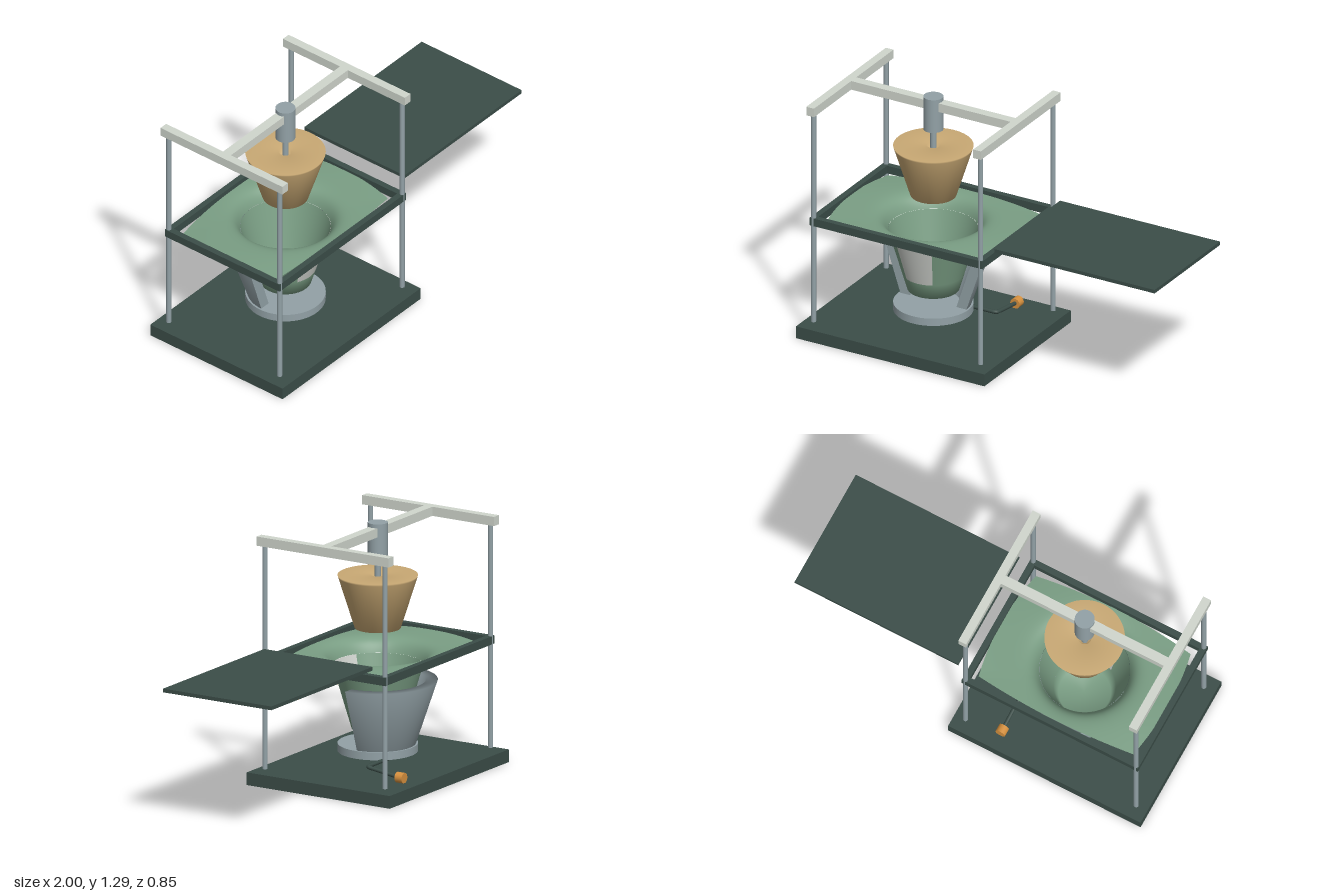
import * as THREE from 'three';

const mat = (name, color, side = THREE.FrontSide) => {
  const m = new THREE.MeshStandardMaterial({ color, side });
  m.name = name;
  return m;
};

export function createModel() {
  const darkGreen = mat('darkGreen', 0x3b4d48);
  const steel = mat('steel', 0x92a1a6, THREE.DoubleSide);
  const paleMetal = mat('paleMetal', 0xd0d6cd);
  const tan = mat('tan', 0xc9a974);
  const plastic = mat('greenPlastic', 0x7a9e84, THREE.DoubleSide);
  const pane = mat('palePane', 0xcdd0cb, THREE.DoubleSide);
  const orange = mat('orange', 0xd6903e);

  const model = new THREE.Group();
  const CX = -0.46; // axis of the press

  const add = (name, geo, material, x = 0, y = 0, z = 0) => {
    const m = new THREE.Mesh(geo, material);
    m.name = name;
    m.position.set(x, y, z);
    model.add(m);
    return m;
  };
  const box = (name, material, w, h, d, x, y, z) =>
    add(name, new THREE.BoxGeometry(w, h, d), material, x, y, z);
  const rod = (name, material, r, y0, y1, x, z, seg = 32) =>
    add(name, new THREE.CylinderGeometry(r, r, y1 - y0, seg), material, x, (y0 + y1) / 2, z);
  const lathe = (name, material, pts, start = 0, sweep = Math.PI * 2, seg = 64) =>
    add(name, new THREE.LatheGeometry(pts.map(p => new THREE.Vector2(...p)), seg, start, sweep), material, CX);

  // Base and four posts
  box('base', darkGreen, 1.083, 0.065, 0.846, CX, 0.0325, 0);
  for (const x of [-0.94, 0.02]) {
    for (const z of [-0.355, 0.355]) rod('post', steel, 0.013, 0.08, 1.225, x, z, 20);
    box('topRail', paleMetal, 0.044, 0.047, 0.78, x, 1.247, 0);
  }
  box('crossBeam', paleMetal, 0.916, 0.047, 0.05, CX, 1.247, 0);

  // Press cylinder, piston rod and tapered plug
  rod('pressCylinder', steel, 0.05, 1.11, 1.29, CX, 0);
  rod('pistonRod', steel, 0.016, 0.98, 1.11, CX, 0);
  lathe('plug', tan, [[0, 0.75], [0.115, 0.75], [0.197, 1.01], [0.2, 1.02],
    [0.034, 1.02], [0.034, 0.985], [0, 0.985]]);

  // Clamp frame around the sheet
  const rect = (s, w, h) => s.moveTo(-w, -h).lineTo(w, -h).lineTo(w, h).lineTo(-w, h).closePath();
  const frameShape = rect(new THREE.Shape(), 0.496, 0.367);
  frameShape.holes.push(rect(new THREE.Path(), 0.464, 0.336));
  const frameGeo = new THREE.ExtrudeGeometry(frameShape, { depth: 0.042, bevelEnabled: false });
  frameGeo.rotateX(-Math.PI / 2);
  add('clampFrame', frameGeo, darkGreen, CX, 0.61, 0);

  // Sheet: bulged rectangle blending to a round opening drawn down to the cup rim
  const N = 96, R = 24, HOLE = 0.226, pos = [], idx = [];
  for (let i = 0; i <= R; i++) {
    const t = Math.pow(i / R, 1.5);
    for (let j = 0; j < N; j++) {
      const a = (j / N) * Math.PI * 2, c = Math.cos(a), s = Math.sin(a);
      const k = 1 / Math.max(Math.abs(c), Math.abs(s)), u = c * k, v = s * k;
      const ox = 0.468 * u * (1 - 0.07 * v * v), oz = 0.33 * v * (1 - 0.09 * u * u);
      const x = THREE.MathUtils.lerp(HOLE * c, ox, t), z = THREE.MathUtils.lerp(HOLE * s, oz, t);
      const dip = 0.078 * Math.exp(-(Math.hypot(x, z) - HOLE) / 0.03);
      pos.push(x, 0.638 - dip - 0.016 * t * t * u * u * v * v, z);
      if (i < R) {
        const p = i * N + j, q = i * N + (j + 1) % N;
        idx.push(p, q, p + N, q, q + N, p + N);
      }
    }
  }
  const sheet = new THREE.BufferGeometry();
  sheet.setAttribute('position', new THREE.Float32BufferAttribute(pos, 3));
  sheet.setIndex(idx);
  sheet.computeVertexNormals();
  add('plasticSheet', sheet, plastic, CX);

  // Formed cup with a pale pane at the front
  const W = 0.5;
  lathe('cupLower', plastic, [[0, 0.235], [0.13, 0.235], [0.155, 0.32]]);
  lathe('cupUpper', plastic, [[0.155, 0.32], [0.225, 0.56]], W, Math.PI * 2 - 2 * W);
  lathe('cupPane', pane, [[0.155, 0.32], [0.225, 0.56]], -W, 2 * W, 16);

  // Rear half of the mould, with flat faces where it is split
  const section = [[0.132, 0.16], [0.19, 0.16], [0.298, 0.485], [0.24, 0.485]];
  lathe('mouldHalf', steel, [...section, section[0]], Math.PI / 2, Math.PI, 48);
  for (const side of [-1, 1]) {
    const face = new THREE.Shape(section.map(([r, y]) => new THREE.Vector2(side * r, y)));
    add('mouldSplitFace', new THREE.ShapeGeometry(face), steel, CX);
  }
  rod('mouldRing', steel, 0.2, 0.12, 0.16, CX, 0, 64);

  // Bent air pipe ending in a valve
  const pts = [[-0.37, 0.117, -0.125], [-0.17, 0.117, -0.125], [-0.17, 0.09, -0.32]]
    .map(p => new THREE.Vector3(...p));
  const path = new THREE.CurvePath();
  const before = pts[1].clone().lerp(pts[0], 0.1), after = pts[1].clone().lerp(pts[2], 0.1);
  path.add(new THREE.LineCurve3(pts[0], before));
  path.add(new THREE.QuadraticBezierCurve3(before, pts[1], after));
  path.add(new THREE.LineCurve3(after, pts[2]));
  add('airPipe', new THREE.TubeGeometry(path, 48, 0.01, 12, false), darkGreen);
  const valve = rod('valve', orange, 0.027, 0, 0.042, -0.17, 0, 20);
  valve.position.set(-0.17, 0.09, -0.325);
  valve.rotation.x = Math.PI / 2;

  // Heater panel swung out to the side, with bars beneath
  box('heaterPanel', darkGreen, 0.92, 0.019, 0.64, 0.54, 0.703, 0);
  for (let i = 0; i < 5; i++)
    box('heaterBar', orange, 0.054, 0.014, 0.56, 0.172 + i * 0.181, 0.681, 0);

  return model;
}
